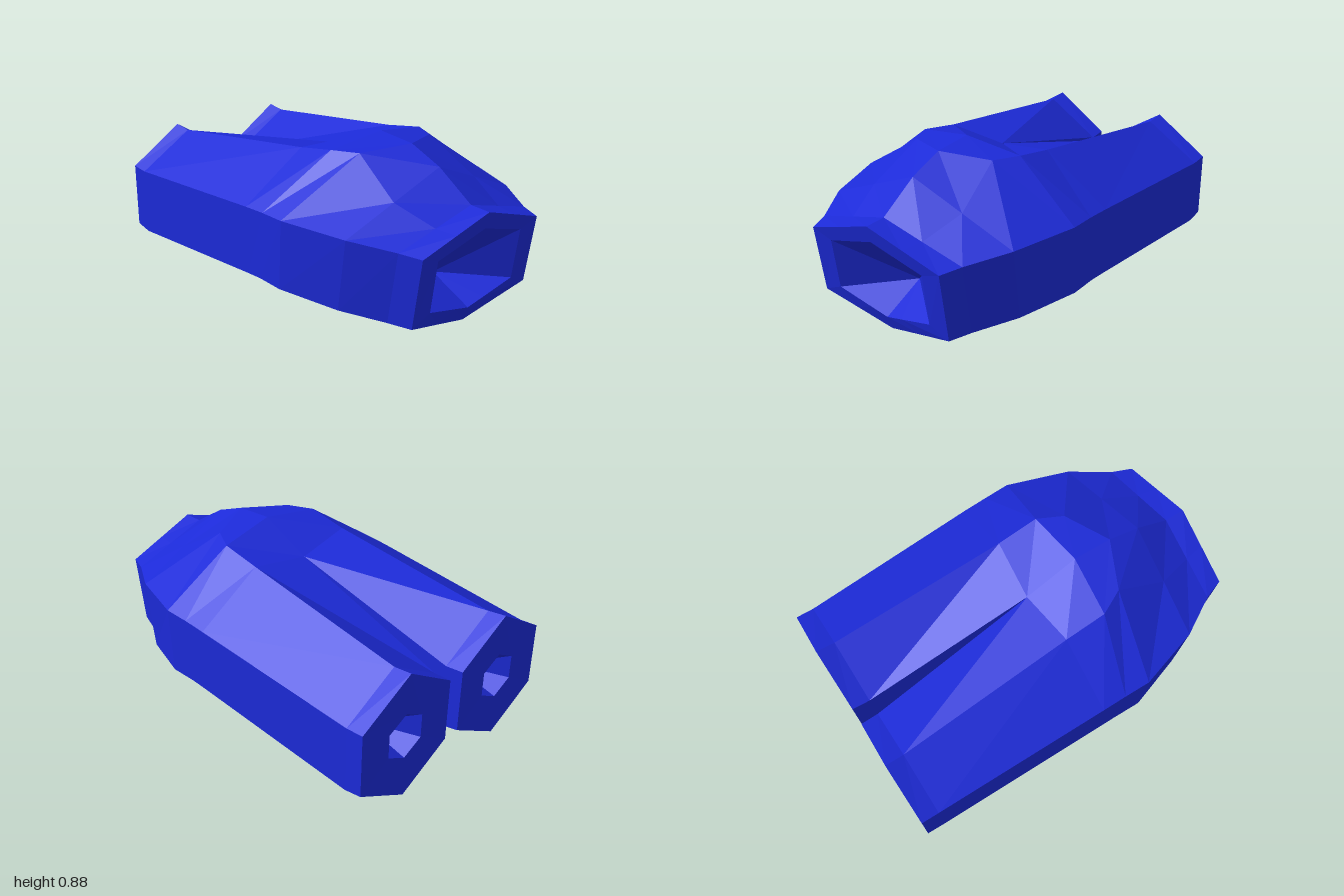
import * as THREE from 'three';

const material = new THREE.MeshStandardMaterial({ color: 0x1c2ad8, flatShading: true });

// Skin closed rings of [x, y, z] points, front to back, each ring clockwise seen from the front
function loft(name, rings) {
  const pos = [];
  const same = (p, q) => p.every((v, k) => Math.abs(v - q[k]) < 1e-6);
  const tri = (a, b, c) => {
    if (!same(a, b) && !same(b, c) && !same(a, c)) pos.push(...a, ...b, ...c);
  };
  for (let r = 0; r < rings.length - 1; r++) {
    const n = rings[r].length;
    for (let i = 0; i < n; i++) {
      const j = (i + 1) % n;
      const a = rings[r][i], b = rings[r][j], c = rings[r + 1][i], d = rings[r + 1][j];
      tri(a, b, c);
      tri(b, d, c);
    }
  }
  const geo = new THREE.BufferGeometry();
  geo.setAttribute('position', new THREE.Float32BufferAttribute(pos, 3));
  geo.computeVertexNormals();
  const mesh = new THREE.Mesh(geo, material);
  mesh.name = name;
  return mesh;
}

const flip = ([x, y, z]) => [-x, y, z];
// Half section (top centre, round the +x side, to bottom centre) completed by mirroring
const whole = (half) => [...half, ...half.slice(1, -1).reverse().map(flip)];
const point = (n, p) => Array.from({ length: n }, () => p);

export function createModel() {
  const group = new THREE.Group();
  group.name = 'twinNozzleHousing';

  // Section where the body splits into two tubes
  const split = [[0, 0.76, 0.02], [0.305, 0.805, 0.05], [0.655, 0.58, 0.05],
    [0.655, 0.235, 0.05], [0.31, 0.065, 0.05], [0, 0.28, 0.02]];

  // Body: recessed mouth, rim, then the swelling hull
  const sections = [
    [[0, 0.565, 0.98], [0.145, 0.522, 0.97], [0.29, 0.48, 0.96],
      [0.29, 0.215, 0.922], [0.1, 0.166, 0.908], [0, 0.14, 0.9]],
    [[0, 0.65, 1], [0.2, 0.585, 0.985], [0.4, 0.52, 0.97],
      [0.4, 0.165, 0.915], [0.2, 0.115, 0.892], [0, 0.065, 0.87]],
    [[0, 0.655, 0.89], [0.22, 0.592, 0.875], [0.44, 0.53, 0.86],
      [0.44, 0.17, 0.8], [0.22, 0.115, 0.78], [0, 0.06, 0.76]],
    [[0, 0.79, 0.69], [0.28, 0.675, 0.67], [0.56, 0.56, 0.65],
      [0.56, 0.2, 0.6], [0.26, 0.1, 0.56], [0, 0.03, 0.53]],
    [[0, 0.865, 0.51], [0.24, 0.84, 0.4], [0.66, 0.585, 0.32],
      [0.66, 0.235, 0.3], [0.27, 0.045, 0.35], [0, 0.03, 0.37]],
    [[0, 0.885, 0.3], [0.305, 0.84, 0.27], [0.657, 0.585, 0.18],
      [0.657, 0.24, 0.15], [0.3, 0.045, 0.2], [0, 0.04, 0.25]],
    split,
  ].map(whole);
  group.add(loft('body', [point(10, [0, 0.25, 0.67]), ...sections]));

  // Hexagonal tube section: centre, half width, corner heights, depth
  const hex = (cx, w, top, up, low, bottom, z) => [
    [cx, top, z], [cx + w, up, z], [cx + w, low, z],
    [cx, bottom, z], [cx - w, low, z], [cx - w, up, z]];

  // Rear tubes with a flared end and a small recessed nozzle hole
  const end = hex(0.338, 0.293, 0.715, 0.53, 0.19, 0.02, -0.995);
  end[0][2] = -1;
  const tube = [
    [...split.slice(1), split[0]],
    hex(0.336, 0.295, 0.7, 0.52, 0.17, 0, -0.9),
    end,
    hex(0.338, 0.11, 0.49, 0.43, 0.3, 0.24, -0.99),
    point(6, [0.338, 0.3, -0.72]),
  ];
  group.add(loft('leftTube', tube));
  group.add(loft('rightTube', tube.map((ring) => ring.map(flip).reverse())));

  return group;
}
